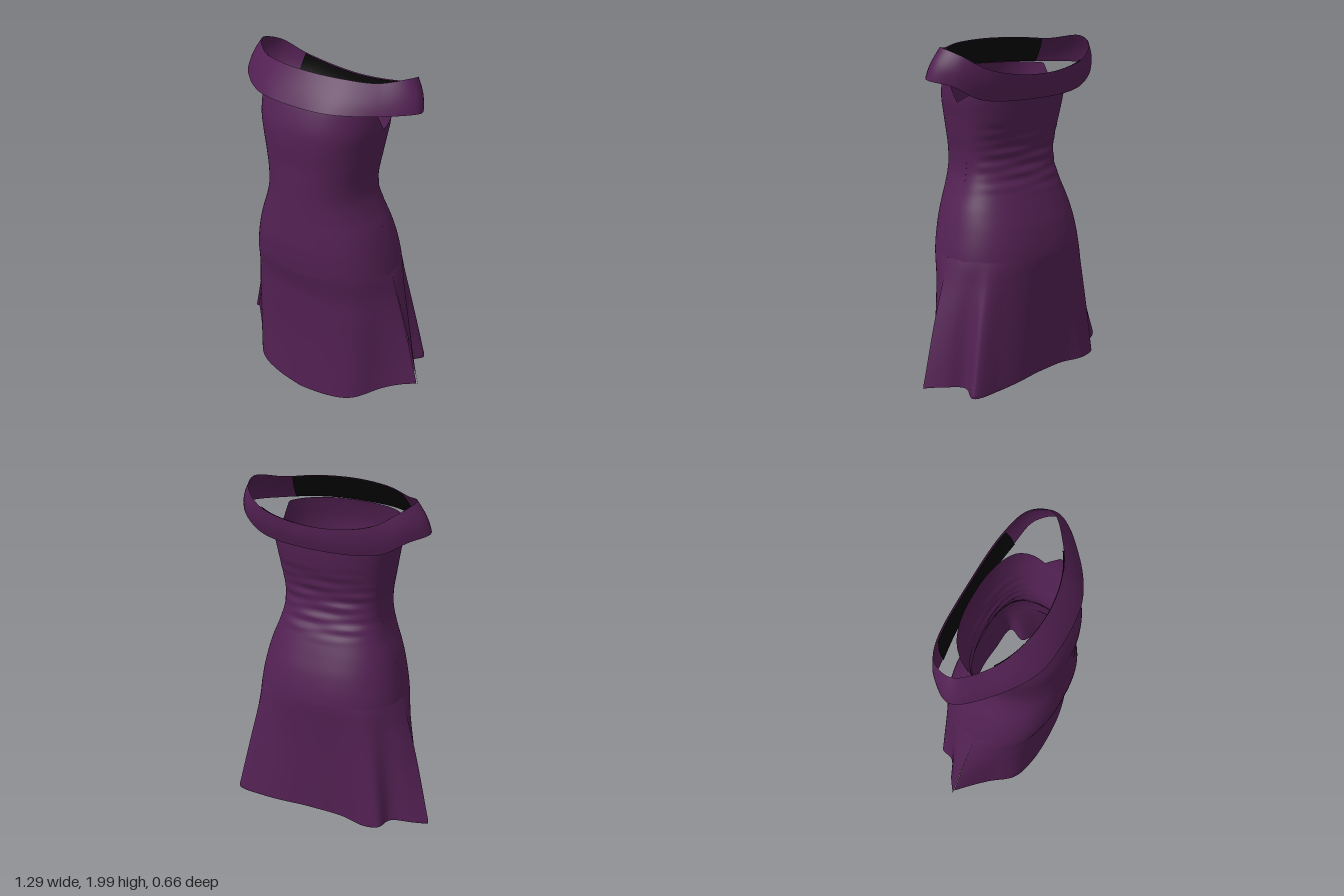
import * as THREE from 'three';
import { ParametricGeometry } from 'three/addons/geometries/ParametricGeometry.js';

const { lerp, clamp, smoothstep } = THREE.MathUtils;
const V = (x, y, z) => new THREE.Vector3(x, y, z);

// Body sections by height: y, half width, front z, back z
const SECTIONS = [
  [0.0, 0.44, 0.26, -0.32], [0.3, 0.455, 0.267, -0.32], [0.55, 0.45, 0.283, -0.32],
  [0.7, 0.44, 0.29, -0.325], [0.85, 0.432, 0.318, -0.328], [1.0, 0.4, 0.333, -0.3],
  [1.1, 0.37, 0.332, -0.265], [1.2, 0.33, 0.33, -0.225], [1.3, 0.302, 0.328, -0.185],
  [1.4, 0.302, 0.327, -0.168], [1.5, 0.32, 0.325, -0.18], [1.6, 0.337, 0.33, -0.205],
  [1.7, 0.356, 0.325, -0.22], [1.8, 0.36, 0.298, -0.23], [1.86, 0.36, 0.275, -0.235],
];
const sections = new THREE.CubicInterpolant(
  SECTIONS.map((s) => s[0]), SECTIONS.flatMap((s) => s.slice(1)), 3, new Array(3));

// Flared outlines of the skirt at its hem
const frontHem = new THREE.CatmullRomCurve3([
  V(-0.625, 0, -0.075), V(-0.46, 0, 0.08), V(-0.34, 0, 0.205), V(-0.19, 0, 0.25), V(0, 0, 0.262),
  V(0.19, 0, 0.25), V(0.34, 0, 0.205), V(0.465, 0, 0.08), V(0.625, 0, -0.04),
]);
const backHem = new THREE.CatmullRomCurve3([
  V(0.645, 0, -0.03), V(0.56, 0, -0.12), V(0.475, 0, -0.19), V(0.51, 0, -0.295),
  V(0.34, 0, -0.318), V(0.18, 0, -0.325), V(0, 0, -0.3), V(-0.2, 0, -0.27),
  V(-0.34, 0, -0.285), V(-0.43, 0, -0.27), V(-0.46, 0, -0.19), V(-0.57, 0, -0.13),
  V(-0.645, 0, -0.075),
]);

const power = (n, e) => Math.sign(n) * Math.abs(n) ** e;

// Point on the front or back half of a body section
function bodyPoint(angle, y) {
  const [w, front, back] = sections.evaluate(y);
  const c = Math.cos(angle), s = Math.sin(angle), z0 = -0.01;
  const depth = s > 0 ? front - z0 : z0 - back;
  return V(0.008 + w * power(c, 0.85), y, z0 + depth * power(s, 0.85));
}

// Spread the skirt towards its hem outline
function flareSkirt(point, outline, u) {
  const flare = clamp((0.85 - point.y) / 0.7, 0, 1);
  const edge = outline.getPoint(u);
  point.x = lerp(point.x, edge.x, flare);
  point.z = lerp(point.z, edge.z, flare);
}

// Front half, from the right side seam to the left one
function frontSurface(u, v, target) {
  const a = Math.PI * (1 - u), side = Math.abs(Math.cos(a));
  const hem = 0.004 + 0.045 * side + 0.09 * side ** 6;
  const top = lerp(1.69, 1.835, clamp((Math.sin(a) ** 0.85) / 0.3, 0, 1));
  target.copy(bodyPoint(a, lerp(hem, top, v)));
  flareSkirt(target, frontHem, u);
}

// Back half, with fine gathers at the waist and a wavy skirt
function backSurface(u, v, target) {
  const a = -Math.PI * u, side = Math.abs(Math.cos(a));
  const hem = 0.142 + 0.012 * Math.sin(u * 17);
  const top = lerp(1.69, 1.765, clamp((Math.sin(-a) ** 0.85) / 0.65, 0, 1));
  const y = lerp(hem, top, v);
  target.copy(bodyPoint(a, y));
  const gather = smoothstep(y, 1.15, 1.28) * (1 - smoothstep(y, 1.4, 1.65)) * (1 - side ** 6);
  target.z += 0.0025 * gather
    * (Math.sin(y * 105 + target.x * 8) + Math.sin(y * 67 - target.x * 11));
  flareSkirt(target, backHem, u);
}

// Off-shoulder band: matching top and bottom edges, mirrored across x
const TOP = [[0, 1.987, 0.19], [0.22, 1.982, 0.155], [0.38, 1.972, 0.07], [0.495, 1.99, -0.05],
  [0.46, 1.955, -0.165], [0.33, 1.88, -0.235], [0, 1.835, -0.262]];
const BOTTOM = [[0, 1.83, 0.302], [0.22, 1.83, 0.275], [0.42, 1.83, 0.15], [0.568, 1.825, -0.03],
  [0.5, 1.8, -0.145], [0.36, 1.725, -0.195], [0, 1.7, -0.232]];
function loop(half) {
  const left = half.map((p) => V(...p));
  const right = half.slice(1, -1).reverse().map(([x, y, z]) => V(-x, y, z));
  return new THREE.CatmullRomCurve3([...left, ...right], true);
}
const topEdge = loop(TOP), bottomEdge = loop(BOTTOM);

function bandPoint(u, v, target, inset = 0) {
  const t = (u + 1) % 1;
  target.copy(bottomEdge.getPoint(t)).lerp(topEdge.getPoint(t), v);
  const bulge = 1 + 0.025 * Math.sin(Math.PI * v) - inset;
  target.x *= bulge;
  target.z *= bulge;
}

export function createModel() {
  const plum = new THREE.MeshStandardMaterial({ color: 0x532153, side: THREE.DoubleSide });
  plum.name = 'plum fabric';
  const black = new THREE.MeshStandardMaterial({ color: 0x050505, side: THREE.DoubleSide });
  black.name = 'black lining';

  const dress = new THREE.Group();
  dress.name = 'dress';
  const add = (name, surface, columns, rows, material) => {
    const mesh = new THREE.Mesh(new ParametricGeometry(surface, columns, rows), material);
    mesh.name = name;
    dress.add(mesh);
  };

  add('frontPanel', frontSurface, 80, 80, plum);
  add('backPanel', backSurface, 96, 140, plum);
  add('shoulderBand', (u, v, p) => bandPoint(u, v, p), 120, 10, plum);

  // Lining strips inside the band, across the front and the back
  for (const [name, centre, span] of [['frontLining', 0, 0.3], ['backLining', 0.5, 0.18]]) {
    add(name, (u, v, p) => bandPoint(centre + (u - 0.5) * span, lerp(0.03, 0.98, v), p, 0.03),
      48, 8, black);
  }
  return dress;
}
